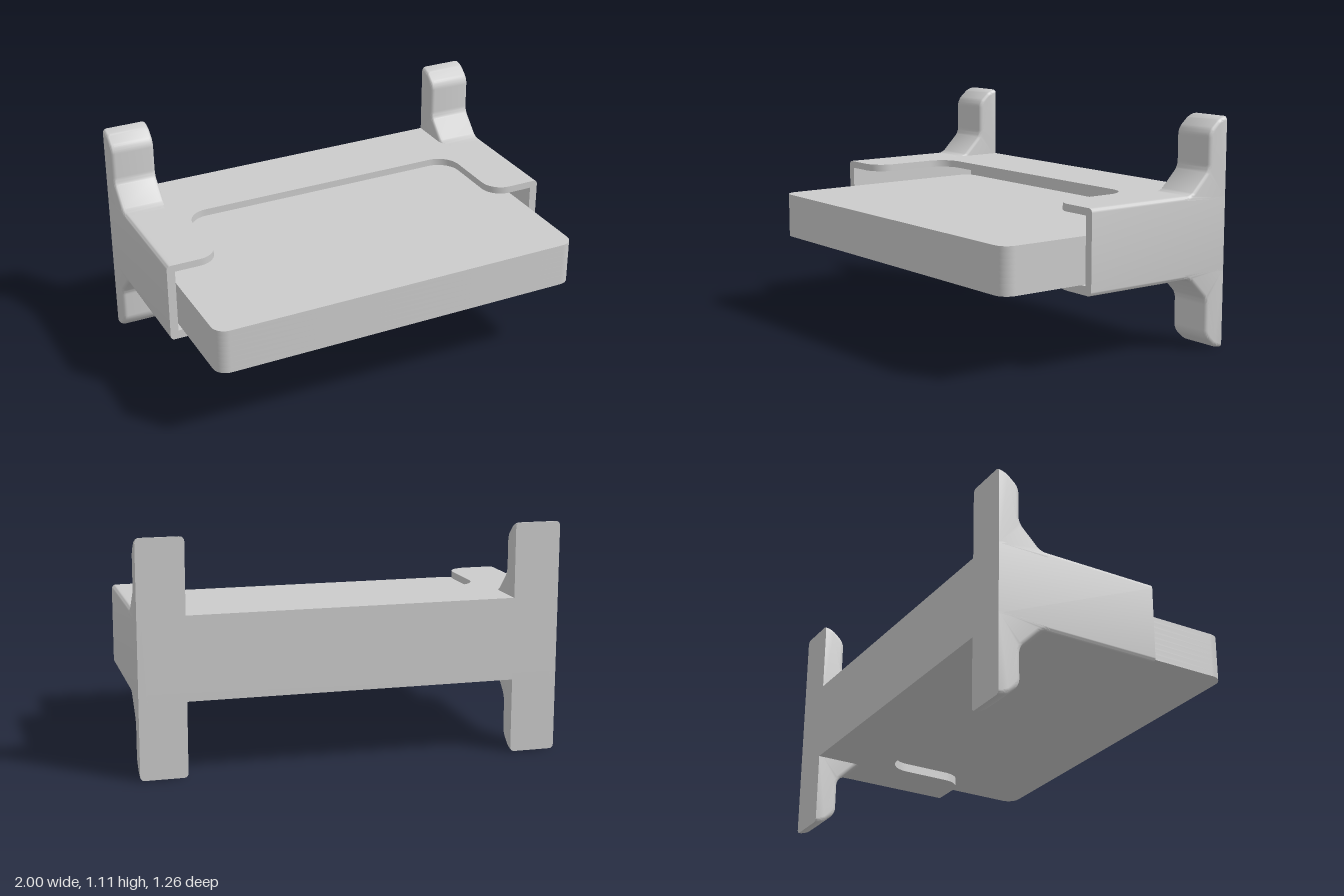
import * as THREE from 'three';
import { toCreasedNormals } from 'three/addons/utils/BufferGeometryUtils.js';

const material = new THREE.MeshStandardMaterial({ color: 0xcccccc });
const HEIGHT = 1.105, TOP = 0.75, BOTTOM = 0.355;      // overall height, sleeve top and bottom
const CEILING = 0.715, FLOOR = 0.398;                  // cavity limits
const FRONT = 0.19, BACK = -0.63, INNER = 0.96;

// Closed outline from [x, y, cornerRadius] points.
function roundedShape(points) {
  const shape = new THREE.Shape();
  points.forEach(([x, y, r = 0], i) => {
    const p = new THREE.Vector2(x, y);
    const prev = points[(i + points.length - 1) % points.length];
    const next = points[(i + 1) % points.length];
    const towards = (q, d) => new THREE.Vector2(q[0], q[1]).sub(p).setLength(d).add(p);
    const a = r ? towards(prev, r) : p;
    if (i === 0) shape.moveTo(a.x, a.y); else shape.lineTo(a.x, a.y);
    if (r) {
      const b = towards(next, r), c = towards(prev, r * 0.45), d = towards(next, r * 0.45);
      shape.bezierCurveTo(c.x, c.y, d.x, d.y, b.x, b.y);
    }
  });
  shape.closePath();
  return shape;
}

function addMesh(parent, name, geometry) {
  const mesh = new THREE.Mesh(geometry, material);
  mesh.name = name;
  parent.add(mesh);
  return mesh;
}

// Horizontal slab from an outline in (x, z), between two heights.
function slab(points, y0, y1) {
  const g = new THREE.ExtrudeGeometry(roundedShape(points), { depth: y1 - y0, bevelEnabled: false, curveSegments: 10 });
  g.rotateX(Math.PI / 2).translate(0, y1, 0);
  return toCreasedNormals(g, 0.6);
}

// Stepped bracket with softened edges; its back and root are cut flat.
function bracketGeometry() {
  const r = 0.02, width = 0.22;
  const profile = roundedShape([
    [-0.66, 0.68], [-0.66, HEIGHT], [-0.595, HEIGHT, 0.03], [-0.52, 1.04, 0.03],
    [-0.52, 0.86, 0.025], [-0.41, TOP, 0.025], [-0.36, TOP], [-0.36, 0.68],
  ]);
  const g = new THREE.ExtrudeGeometry(profile, {
    depth: width - 2 * r, bevelThickness: r, bevelSize: r, bevelOffset: -r, bevelSegments: 4, curveSegments: 6,
  });
  g.rotateY(-Math.PI / 2).translate(width / 2 - r, 0, 0);
  const pos = g.attributes.position;
  for (let i = 0; i < pos.count; i++) {
    pos.setY(i, Math.max(pos.getY(i), 0.72));
    pos.setZ(i, Math.max(pos.getZ(i), BACK));
  }
  return toCreasedNormals(g, 0.6);
}

export function createModel() {
  const model = new THREE.Group();
  model.name = 'cardHolder';

  // Sleeve: two plates with a finger notch, side walls and a back wall
  const sleeve = new THREE.Group();
  sleeve.name = 'sleeve';
  model.add(sleeve);
  const plate = [
    [-INNER, BACK], [INNER, BACK], [INNER, FRONT], [0.735, FRONT, 0.1], [0.735, -0.26, 0.11],
    [-0.735, -0.26, 0.11], [-0.735, FRONT, 0.1], [-INNER, FRONT],
  ];
  addMesh(sleeve, 'topPlate', slab(plate, CEILING, TOP));
  addMesh(sleeve, 'bottomPlate', slab(plate, BOTTOM, FLOOR));
  const back = new THREE.BoxGeometry(2 * INNER, CEILING - FLOOR, 0.04);
  addMesh(sleeve, 'backWall', back).position.set(0, (CEILING + FLOOR) / 2, BACK + 0.02);

  for (const [side, s] of [['left', 1], ['right', -1]]) {
    const wall = new THREE.ExtrudeGeometry(
      roundedShape([[s * INNER, BOTTOM], [s, BOTTOM, 0.02], [s, TOP, 0.02], [s * INNER, TOP]]),
      { depth: FRONT - BACK, bevelEnabled: false, curveSegments: 6 });
    wall.translate(0, 0, BACK);
    addMesh(sleeve, side + 'Wall', toCreasedNormals(wall, 0.6));

    // Brackets above and below the sleeve
    addMesh(model, side + 'UpperBracket', bracketGeometry()).position.x = s * 0.89;
    const lower = addMesh(model, side + 'LowerBracket', bracketGeometry());
    lower.rotation.z = Math.PI;
    lower.position.set(s * 0.89, HEIGHT, 0);
  }

  // Stack of cards
  const cards = new THREE.Group();
  cards.name = 'cardStack';
  model.add(cards);
  const count = 8, step = (0.62 - 0.4) / count, r = 0.065;
  const outline = [[-0.94, -0.56, r], [0.94, -0.56, r], [0.94, 0.63, r], [-0.94, 0.63, r]];
  const cardGeometry = slab(outline, 0, step);
  for (let i = 0; i < count; i++) addMesh(cards, 'card' + (i + 1), cardGeometry).position.y = 0.4 + i * step;

  return model;
}
